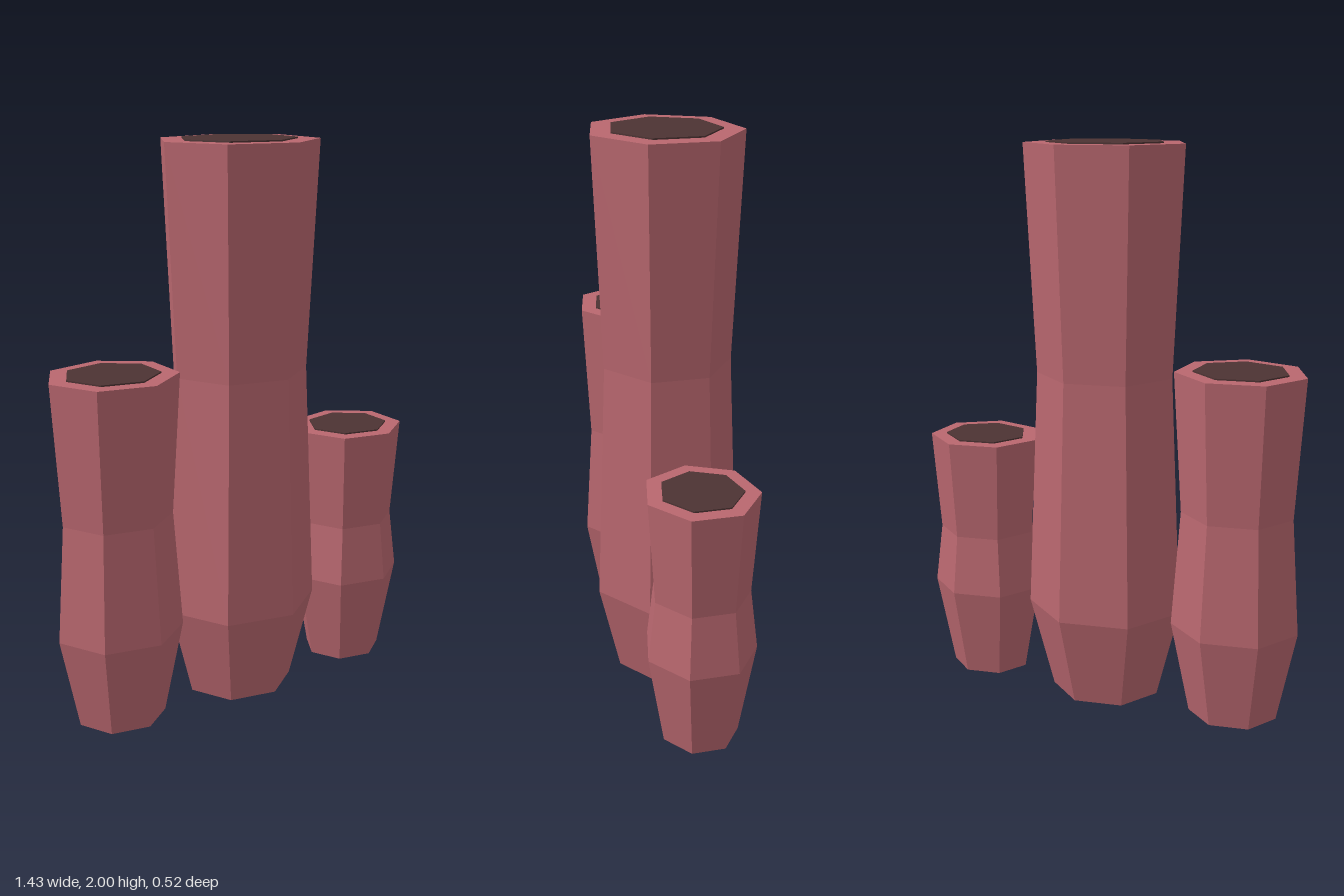
import * as THREE from 'three';

const SIDES = 7;
const START = -Math.PI / 2; // one corner points to -x
const DEPTH = 0.923;        // tubes are slightly flattened front to back
const LIP = 0.005;

export function createModel() {
  const coral = new THREE.MeshStandardMaterial({ name: 'coral red', color: 0xb9676f, flatShading: true });
  const dark = new THREE.MeshStandardMaterial({ name: 'dark brown', color: 0x4d3333, flatShading: true });

  // One faceted tube: narrow foot, bulge, waist and flared rim
  function makeTube(name, x, radius, height) {
    const tube = new THREE.Group();
    tube.name = name;
    const top = height - LIP;
    const profile = [
      [0, 0],
      [radius * 0.7, 0],
      [radius, 0.335],
      [radius * 0.868, height * 0.6],
      [radius, top],
      [0, top],
    ].map(([r, y]) => new THREE.Vector2(r, y));
    const body = new THREE.Mesh(new THREE.LatheGeometry(profile, SIDES, START), coral);
    body.name = name + 'Body';

    // Dark opening, a thin plate on the rim
    const mouthRadius = radius * 0.725;
    const mouth = new THREE.Mesh(
      new THREE.CylinderGeometry(mouthRadius, mouthRadius, LIP, SIDES, 1, false, START), dark);
    mouth.name = name + 'Opening';
    mouth.position.y = height - LIP / 2;

    tube.add(body, mouth);
    tube.position.x = x;
    tube.scale.z = DEPTH;
    return tube;
  }

  const model = new THREE.Group();
  model.name = 'tubeCluster';
  model.add(
    makeTube('tallTube', 0.019, 0.289, 2),
    makeTube('mediumTube', -0.484, 0.231, 1.253),
    makeTube('shortTube', 0.52, 0.211, 0.922),
  );
  return model;
}
